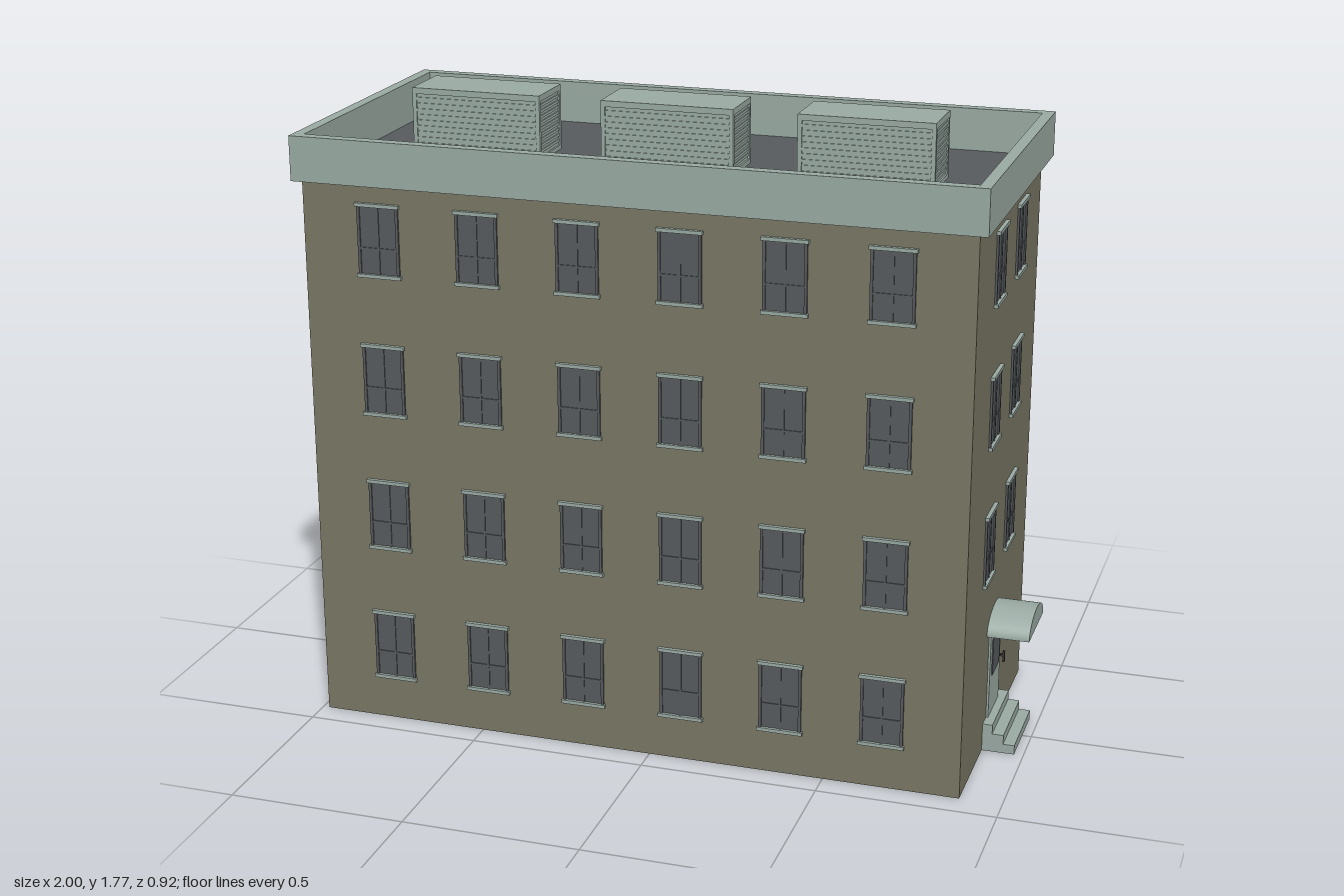
import * as THREE from 'three';

const mat = (name, color) => {
  const m = new THREE.MeshStandardMaterial({ color });
  m.name = name;
  return m;
};

export function createModel() {
  const wall = mat('wall', 0x7a7864);
  const trim = mat('trim', 0x9caca5);
  const dark = mat('slate', 0x585c5f);
  const metal = mat('handle metal', 0x3a3632);

  const model = new THREE.Group();
  model.name = 'apartmentBlock';

  // Box given by its minimum and maximum corners
  const box = (parent, name, material, x0, x1, y0, y1, z0, z1) => {
    const mesh = new THREE.Mesh(new THREE.BoxGeometry(x1 - x0, y1 - y0, z1 - z0), material);
    mesh.position.set((x0 + x1) / 2, (y0 + y1) / 2, (z0 + z1) / 2);
    mesh.name = name;
    parent.add(mesh);
    return mesh;
  };
  const group = (name, parent = model) => {
    const g = new THREE.Group();
    g.name = name;
    parent.add(g);
    return g;
  };

  const X0 = -0.982, X1 = 0.882, Z = 0.426, MID = -0.05;

  // Walls and roof deck
  box(model, 'walls', wall, X0, X1, 0, 1.578, -Z, Z);
  box(model, 'roofDeck', dark, -0.968, 0.878, 1.578, 1.583, -0.426, 0.426);

  // Parapet: a rectangular ring overhanging the walls
  const ring = new THREE.Shape([[-1, -0.458], [0.91, -0.458], [0.91, 0.458], [-1, 0.458]]
    .map(([x, y]) => new THREE.Vector2(x, y)));
  ring.holes.push(new THREE.Path([[-0.968, -0.426], [-0.968, 0.426], [0.878, 0.426], [0.878, -0.426]]
    .map(([x, y]) => new THREE.Vector2(x, y))));
  const parapet = new THREE.Mesh(new THREE.ExtrudeGeometry(ring, { depth: 0.125, bevelEnabled: false }), trim);
  parapet.rotation.x = -Math.PI / 2;
  parapet.position.y = 1.578;
  parapet.name = 'parapet';
  model.add(parapet);

  // Window facing +z, with its origin on the wall at the middle of the glass
  const makeWindow = () => {
    const w = new THREE.Group();
    w.name = 'window';
    box(w, 'glass', dark, -0.06, 0.06, -0.098, 0.098, -0.002, 0.002);
    for (const s of [-1, 1]) {
      box(w, 'frameSide', dark, s * 0.056 - 0.004, s * 0.056 + 0.004, -0.098, 0.098, 0, 0.006);
    }
    box(w, 'mullion', dark, -0.003, 0.003, -0.098, 0.098, 0, 0.005);
    box(w, 'transom', dark, -0.054, 0.054, -0.026, -0.02, 0, 0.005);
    box(w, 'lintel', trim, -0.064, 0.064, 0.094, 0.104, 0, 0.011);
    box(w, 'sill', trim, -0.064, 0.064, -0.104, -0.094, 0, 0.011);
    return w;
  };
  const windows = group('windows');
  const addWindow = (x, y, z, turn) => {
    const w = makeWindow();
    w.position.set(x, y, z);
    w.rotation.y = turn;
    windows.add(w);
  };
  for (let floor = 0; floor < 4; floor++) {
    const y = 0.228 + floor * 0.398;
    for (let i = 0; i < 6; i++) {
      const x = MID + (i - 2.5) * 0.285;
      addWindow(x, y, Z, 0);
      addWindow(x, y, -Z, Math.PI);
    }
    for (const z of [0.14, -0.147]) {
      addWindow(X0, y, z, -Math.PI / 2);
      if (floor > 0) addWindow(X1, y, z, Math.PI / 2);
    }
  }

  // Entrance on the +x end: door, steps and arched canopy
  const entrance = group('entrance');
  const DZ = 0.006;
  box(entrance, 'door', trim, X1 - 0.01, X1 + 0.006, 0.08, 0.345, DZ - 0.073, DZ + 0.073);
  box(entrance, 'doorGlass', dark, X1, X1 + 0.009, 0.2, 0.31, DZ - 0.048, DZ + 0.048);
  box(entrance, 'handleStem', metal, X1, X1 + 0.02, 0.212, 0.218, -0.062, -0.054);
  box(entrance, 'handle', metal, X1 + 0.016, X1 + 0.022, 0.195, 0.228, -0.062, -0.054);
  [0.974, 0.942, 0.91].forEach((x, i) => {
    box(entrance, 'step', trim, X1 - 0.01, x, i * 0.027, (i + 1) * 0.027, DZ - 0.118, DZ + 0.118);
  });
  const arch = new THREE.Shape();
  arch.absellipse(0, 0, 0.107, 0.06, 0, Math.PI, false, 0);
  const canopy = new THREE.Mesh(
    new THREE.ExtrudeGeometry(arch, { depth: 1 - X1, bevelEnabled: false, curveSegments: 16 }), trim);
  canopy.rotation.y = Math.PI / 2;
  canopy.position.set(X1, 0.342, DZ);
  canopy.name = 'canopy';
  entrance.add(canopy);

  // Rooftop ventilation units with louvred sides
  for (const cx of [-0.617, -0.06, 0.497]) {
    const unit = group('ventUnit');
    unit.position.set(cx, 1.583, -0.014);
    const hx = 0.189, hz = 0.085;
    box(unit, 'core', trim, -hx + 0.005, hx - 0.005, 0, 0.17, -hz + 0.005, hz - 0.005);
    box(unit, 'base', trim, -hx, hx, 0, 0.012, -hz, hz);
    box(unit, 'lid', trim, -hx, hx, 0.168, 0.185, -hz, hz);
    for (const sx of [-1, 1]) for (const sz of [-1, 1]) {
      const px = sx * (hx - 0.006), pz = sz * (hz - 0.006);
      box(unit, 'post', trim, px - 0.006, px + 0.006, 0, 0.18, pz - 0.006, pz + 0.006);
    }
    for (let i = 0; i < 9; i++) {
      const y = 0.022 + i * 0.016;
      box(unit, 'louvre', trim, -hx + 0.002, hx - 0.002, y, y + 0.008, -hz + 0.002, hz - 0.002);
    }
  }
  return model;
}
